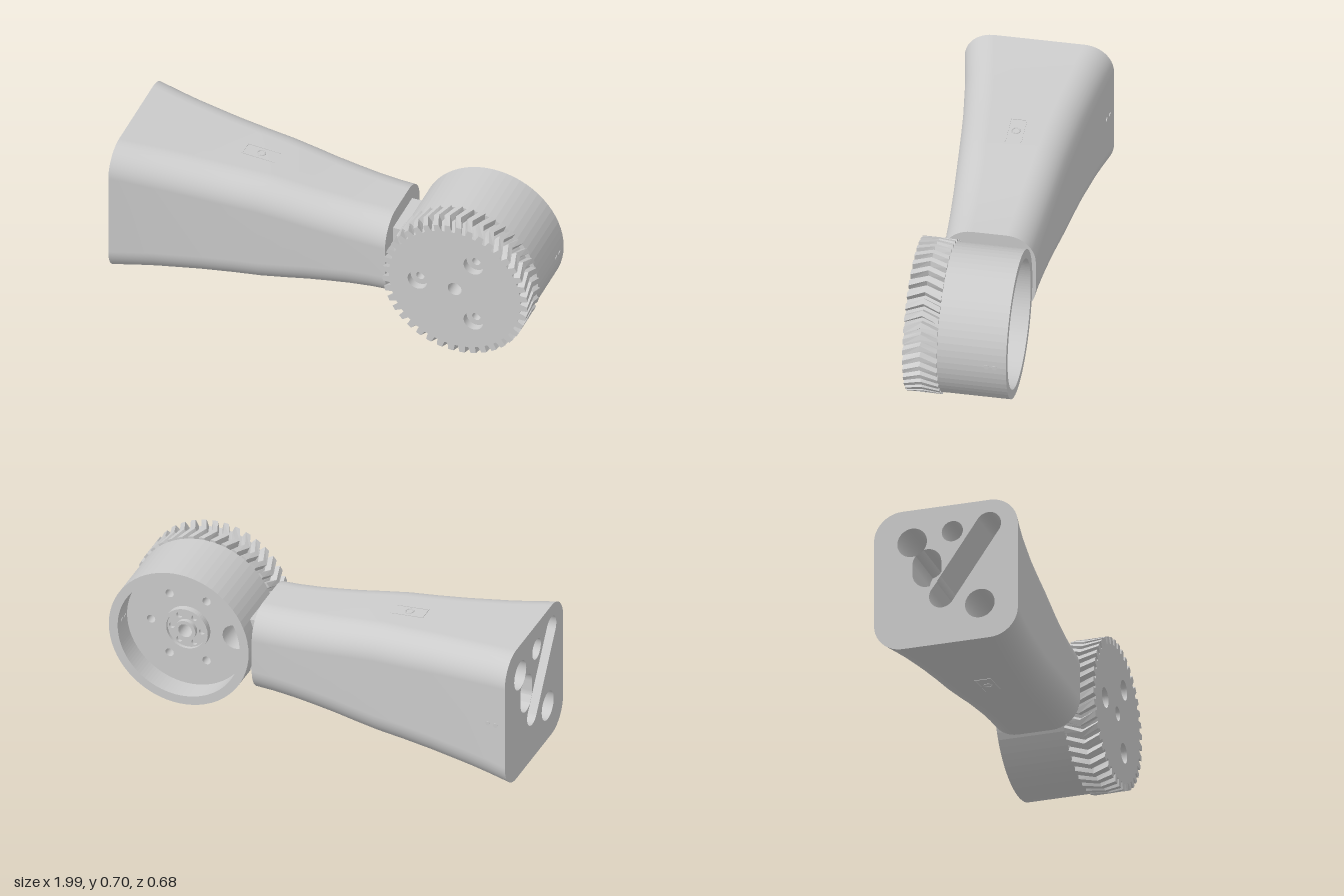
import * as THREE from 'three';

const grey = new THREE.MeshStandardMaterial({ color: 0xcccccc });
const greyDouble = new THREE.MeshStandardMaterial({ color: 0xcccccc, side: THREE.DoubleSide });
const CY = 0.35; // height of the centre line

function add(parent, name, geometry, material = grey) {
  const mesh = new THREE.Mesh(geometry, material);
  mesh.name = name;
  parent.add(mesh);
  return mesh;
}

// Rounded slot outline between two points; a circle when they coincide
function slot(x1, y1, x2, y2, r, Type = THREE.Path) {
  const a = Math.atan2(y2 - y1, x2 - x1), q = Math.PI / 2;
  const p = new Type();
  p.absarc(x2, y2, r, a - q, a + q, false);
  p.absarc(x1, y1, r, a + q, a + 3 * q, false);
  return p;
}
const circle = (x, y, r, Type) => slot(x, y, x, y, r, Type);
const polar = (r, a) => [r * Math.cos(a), r * Math.sin(a)];

function disc(r, holes = []) {
  const s = new THREE.Shape().absarc(0, 0, r, 0, Math.PI * 2, false);
  s.holes.push(...holes);
  return s;
}

function plate(shape, z0, z1, steps = 1) {
  return new THREE.ExtrudeGeometry(shape, { depth: z1 - z0, steps, bevelEnabled: false, curveSegments: 32 })
    .translate(0, 0, z0);
}

// Skin through rings given as { x, pts: [z, y] }
function loft(rings) {
  const n = rings[0].pts.length, pos = [], idx = [];
  rings.forEach(({ x, pts }) => pts.forEach((p) => pos.push(x, p.y, p.x)));
  for (let i = 0; i < rings.length - 1; i++) {
    for (let j = 0; j < n; j++) {
      const a = i * n + j, b = i * n + (j + 1) % n;
      idx.push(a, b, a + n, b, b + n, a + n);
    }
  }
  const g = new THREE.BufferGeometry();
  g.setAttribute('position', new THREE.Float32BufferAttribute(pos, 3));
  g.setIndex(idx);
  g.computeVertexNormals();
  return g;
}

// Rounded rectangle section, corner by corner
function section(hz, hy, r) {
  const pts = [];
  [[1, 1], [-1, 1], [-1, -1], [1, -1]].forEach(([sx, sy], k) => {
    for (let i = 0; i <= 10; i++) {
      const [u, v] = polar(r, (k + i / 10) * Math.PI / 2);
      pts.push(new THREE.Vector2(sx * (hz - r) + u, sy * (hy - r) + v));
    }
  });
  return pts;
}

function buildArm() {
  const arm = new THREE.Group();
  arm.name = 'arm';
  arm.position.y = CY;

  // Tapered housing: x, half depth, half height
  const stations = [
    [-1, 0.34, 0.34], [-0.9, 0.321, 0.328], [-0.8, 0.304, 0.317], [-0.6, 0.277, 0.298], [-0.45, 0.262, 0.285],
    [-0.32, 0.25, 0.276], [-0.2, 0.24, 0.26], [-0.1, 0.232, 0.245], [0, 0.225, 0.233], [0.1, 0.219, 0.222],
    [0.2, 0.214, 0.215], [0.285, 0.212, 0.212],
  ];
  const rings = stations.map(([x, hz, hy]) => ({ x, pts: section(hz, hy, 0.133) }));
  add(arm, 'housing', loft(rings), greyDouble);

  // End plate with sunken pockets
  const end = new THREE.Shape(rings[0].pts);
  const pockets = [
    [-0.16, 0.18, -0.16, 0.18, 0.07], [-0.09, 0.02, -0.09, 0.07, 0.068], [0.03, 0.21, 0.03, 0.21, 0.05],
    [0.16, -0.165, 0.16, -0.165, 0.07], [-0.02, -0.1, 0.2, 0.22, 0.06],
  ];
  for (const p of pockets) {
    const path = slot(...p);
    end.holes.push(path);
    const pts = path.getPoints(12);
    add(arm, 'pocketWall', loft([{ x: -1, pts }, { x: -0.75, pts }]), greyDouble);
    const floor = add(arm, 'pocketFloor', new THREE.ShapeGeometry(slot(...p, THREE.Shape)));
    floor.position.x = -0.75;
    floor.rotation.y = -Math.PI / 2;
  }
  const endPlate = add(arm, 'endPlate', new THREE.ShapeGeometry(end));
  endPlate.position.x = -1;
  endPlate.rotation.y = -Math.PI / 2;
  const frontPlate = add(arm, 'frontPlate', new THREE.ShapeGeometry(new THREE.Shape(rings.at(-1).pts)));
  frontPlate.position.x = 0.285;
  frontPlate.rotation.y = Math.PI / 2;

  // Latches on the top and underside
  for (const side of [1, -1]) {
    const latch = new THREE.Group();
    latch.name = side > 0 ? 'topLatch' : 'bottomLatch';
    latch.position.set(-0.395, side * 0.2815, 0);
    latch.rotation.z = -side * 0.076;
    for (const z of [-0.036, 0.036]) {
      add(latch, 'latchEdge', new THREE.BoxGeometry(0.155, 0.004, 0.005)).position.z = z;
    }
    add(latch, 'latchEnd', new THREE.BoxGeometry(0.005, 0.004, 0.077)).position.x = -0.078;
    add(latch, 'latchEye', new THREE.TorusGeometry(0.018, 0.003, 6, 24)).rotation.x = Math.PI / 2;
    arm.add(latch);
  }

  // Pair of side screws
  for (const [x, z] of [[-0.95, -0.33], [-0.91, -0.323]]) {
    const screw = add(arm, 'sideScrew', new THREE.CylinderGeometry(0.011, 0.011, 0.006, 16));
    screw.position.set(x, 0, z);
    screw.rotation.x = Math.PI / 2;
  }

  // Neck joining the arm to the drum
  add(arm, 'neck', new THREE.BoxGeometry(0.05, 0.265, 0.235)).position.set(0.308, 0, -0.0025);
  return arm;
}

function buildGear() {
  const teeth = 40, root = 0.317, tip = 0.35, z0 = 0.115, z1 = 0.272;
  const pts = [];
  for (let i = 0; i < teeth; i++) {
    for (const [t, r] of [[0, root], [0.3, root], [0.42, tip], [0.88, tip]]) {
      pts.push(new THREE.Vector2(...polar(r, (i + t) / teeth * Math.PI * 2)));
    }
  }
  const shape = new THREE.Shape(pts);
  shape.holes.push(circle(0, 0, 0.033));
  for (let k = 0; k < 3; k++) {
    shape.holes.push(circle(...polar(0.18, (1 + 2 * k) * Math.PI / 3), 0.047));
  }
  // Shift the middle of each tooth round to form a chevron
  const g = plate(shape, z0, z1, 2);
  const pos = g.attributes.position, v = new THREE.Vector3(), axis = new THREE.Vector3(0, 0, 1);
  for (let i = 0; i < pos.count; i++) {
    v.fromBufferAttribute(pos, i);
    if (Math.hypot(v.x, v.y) < 0.3) continue;
    v.applyAxisAngle(axis, 0.09 * (1 - Math.abs(2 * v.z - z0 - z1) / (z1 - z0)));
    pos.setXYZ(i, v.x, v.y, v.z);
  }
  g.computeVertexNormals();
  return g;
}

function buildWheel() {
  const wheel = new THREE.Group();
  wheel.name = 'wheel';
  wheel.position.set(0.645, CY, 0);
  add(wheel, 'herringboneGear', buildGear());

  // Counterbore seats in the gear
  for (let k = 0; k < 3; k++) {
    const seat = add(wheel, 'boltSeat', plate(disc(0.047, [circle(0, 0, 0.02)]), 0.115, 0.235));
    seat.position.set(...polar(0.18, (1 + 2 * k) * Math.PI / 3), 0);
  }

  // Drum: thick pierced core and a raised rear wall
  const holes = [circle(0, 0, 0.033), circle(-0.228, 0, 0.06)];
  for (const k of [0, 1, 2, 4, 5]) holes.push(circle(...polar(0.18, k * Math.PI / 3), 0.02));
  add(wheel, 'drumCore', plate(disc(0.34, holes), -0.09, 0.115));
  add(wheel, 'drumWall', plate(disc(0.34, [circle(0, 0, 0.297)]), -0.2, -0.09));

  // Rear hub with a ring of small holes
  const hubHoles = [circle(0, 0, 0.033)];
  for (let k = 0; k < 6; k++) hubHoles.push(circle(...polar(0.073, k * Math.PI / 3), 0.014));
  add(wheel, 'hub', plate(disc(0.108, hubHoles), -0.105, -0.09));
  add(wheel, 'hubRim', plate(disc(0.108, [circle(0, 0, 0.094)]), -0.12, -0.105));
  add(wheel, 'hubCollar', plate(disc(0.05, [circle(0, 0, 0.033)]), -0.125, -0.105));

  // Set screws through the drum wall
  for (const z of [-0.11, -0.147]) {
    const screw = add(wheel, 'setScrew', new THREE.CylinderGeometry(0.011, 0.011, 0.048, 16));
    screw.position.set(0.3185, 0, z);
    screw.rotation.z = Math.PI / 2;
  }
  return wheel;
}

export function createModel() {
  const model = new THREE.Group();
  model.name = 'gearedArm';
  model.add(buildArm(), buildWheel());
  return model;
}
